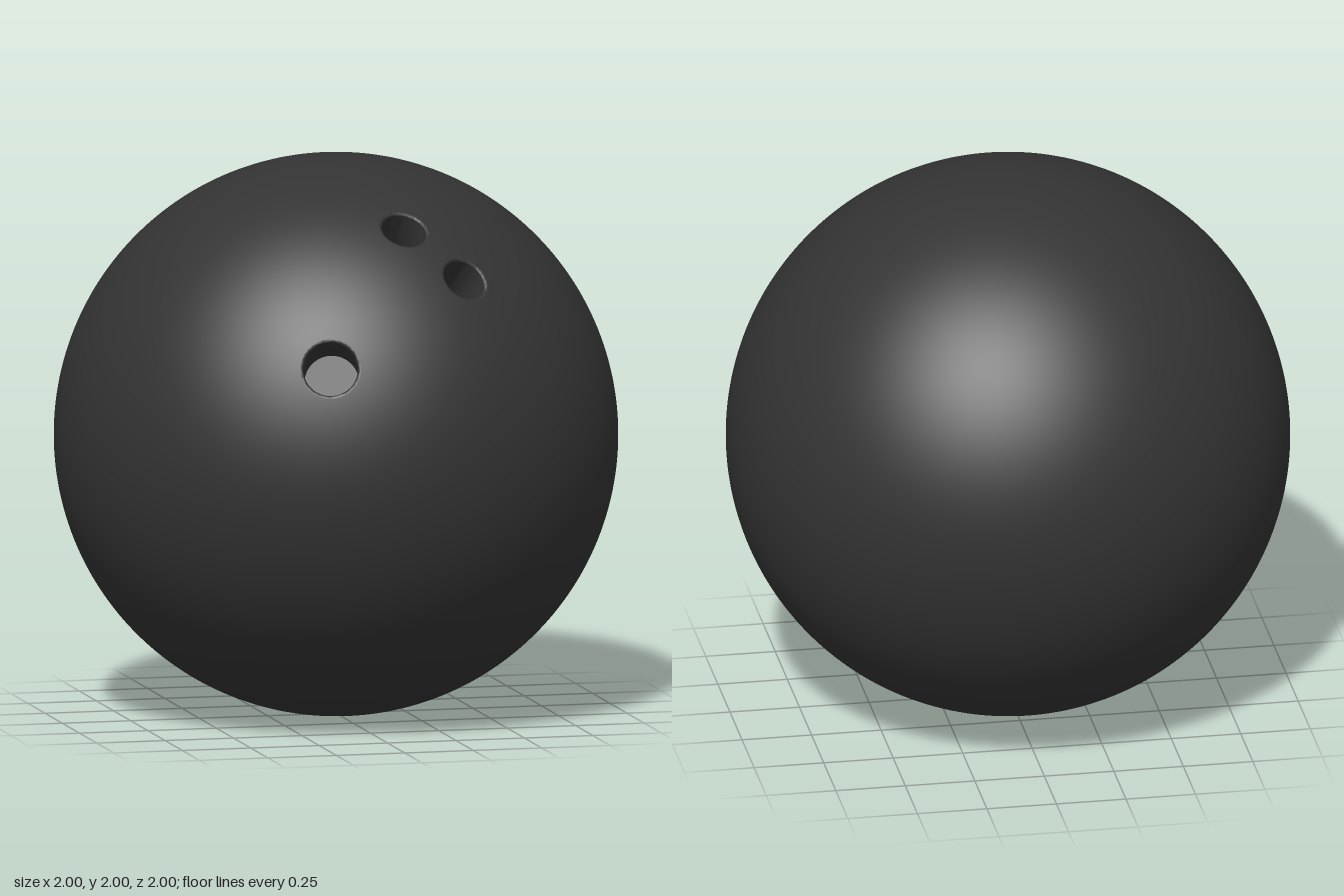
import * as THREE from 'three';
import { mergeVertices, toCreasedNormals } from 'three/addons/utils/BufferGeometryUtils.js';

// Each hole: outward axis, bore radius, depth below the rim
const LIP = 0.012;
const HOLES = [
  { name: 'thumbHole', axis: new THREE.Vector3(-0.245, 0.37, 0.896).normalize(), r: 0.096, depth: 0.2 },
  { name: 'leftFingerHole', axis: new THREE.Vector3(0.295, 0.645, 0.705).normalize(), r: 0.08, depth: 0.17 },
  { name: 'rightFingerHole', axis: new THREE.Vector3(0.105, 0.81, 0.575).normalize(), r: 0.08, depth: 0.17 },
];

// Unit sphere with round openings: drop faces inside a hole, pull the ragged border onto the rim circle
function drilledSphere() {
  let geo = new THREE.IcosahedronGeometry(1, 56);
  geo.deleteAttribute('normal');
  geo.deleteAttribute('uv');
  geo = mergeVertices(geo, 1e-5);
  const pos = geo.attributes.position;
  const v = new THREE.Vector3();
  const holeOf = [];
  for (let i = 0; i < pos.count; i++) {
    v.fromBufferAttribute(pos, i);
    holeOf[i] = HOLES.find((h) => v.angleTo(h.axis) < Math.asin(h.r + LIP));
  }
  const kept = [];
  const border = new Map();
  const idx = geo.index.array;
  for (let i = 0; i < idx.length; i += 3) {
    const tri = [idx[i], idx[i + 1], idx[i + 2]];
    const inside = tri.find((k) => holeOf[k]);
    if (inside === undefined) kept.push(...tri);
    else tri.filter((k) => !holeOf[k]).forEach((k) => border.set(k, holeOf[inside]));
  }
  for (const [k, h] of border) {
    const R = h.r + LIP;
    v.fromBufferAttribute(pos, k).projectOnPlane(h.axis).setLength(R);
    v.addScaledVector(h.axis, Math.sqrt(1 - R * R));
    pos.setXYZ(k, v.x, v.y, v.z);
  }
  geo.setIndex(kept);
  geo.setAttribute('normal', pos.clone()); // exact sphere normals
  return geo;
}

// Rounded lip, straight wall and flat floor, turned about +y
function boreGeometry({ r, depth }) {
  const R = r + LIP;
  const top = Math.sqrt(1 - R * R);
  const lip = new THREE.QuadraticBezierCurve(
    new THREE.Vector2(R, top),
    new THREE.Vector2(r, top + (LIP * R) / top),
    new THREE.Vector2(r, top - LIP)
  );
  const profile = [
    ...lip.getPoints(8),
    new THREE.Vector2(r, top - depth),
    new THREE.Vector2(0, top - depth),
  ];
  return toCreasedNormals(new THREE.LatheGeometry(profile, 64), Math.PI / 5);
}

export function createModel() {
  const group = new THREE.Group();
  const material = new THREE.MeshStandardMaterial({ color: 0x333333 });
  const up = new THREE.Vector3(0, 1, 0);

  const ball = new THREE.Mesh(drilledSphere(), material);
  ball.name = 'ball';
  ball.position.y = 1;
  group.add(ball);

  for (const hole of HOLES) {
    const bore = new THREE.Mesh(boreGeometry(hole), material);
    bore.name = hole.name;
    bore.position.y = 1;
    bore.quaternion.setFromUnitVectors(up, hole.axis);
    group.add(bore);
  }
  return group;
}
